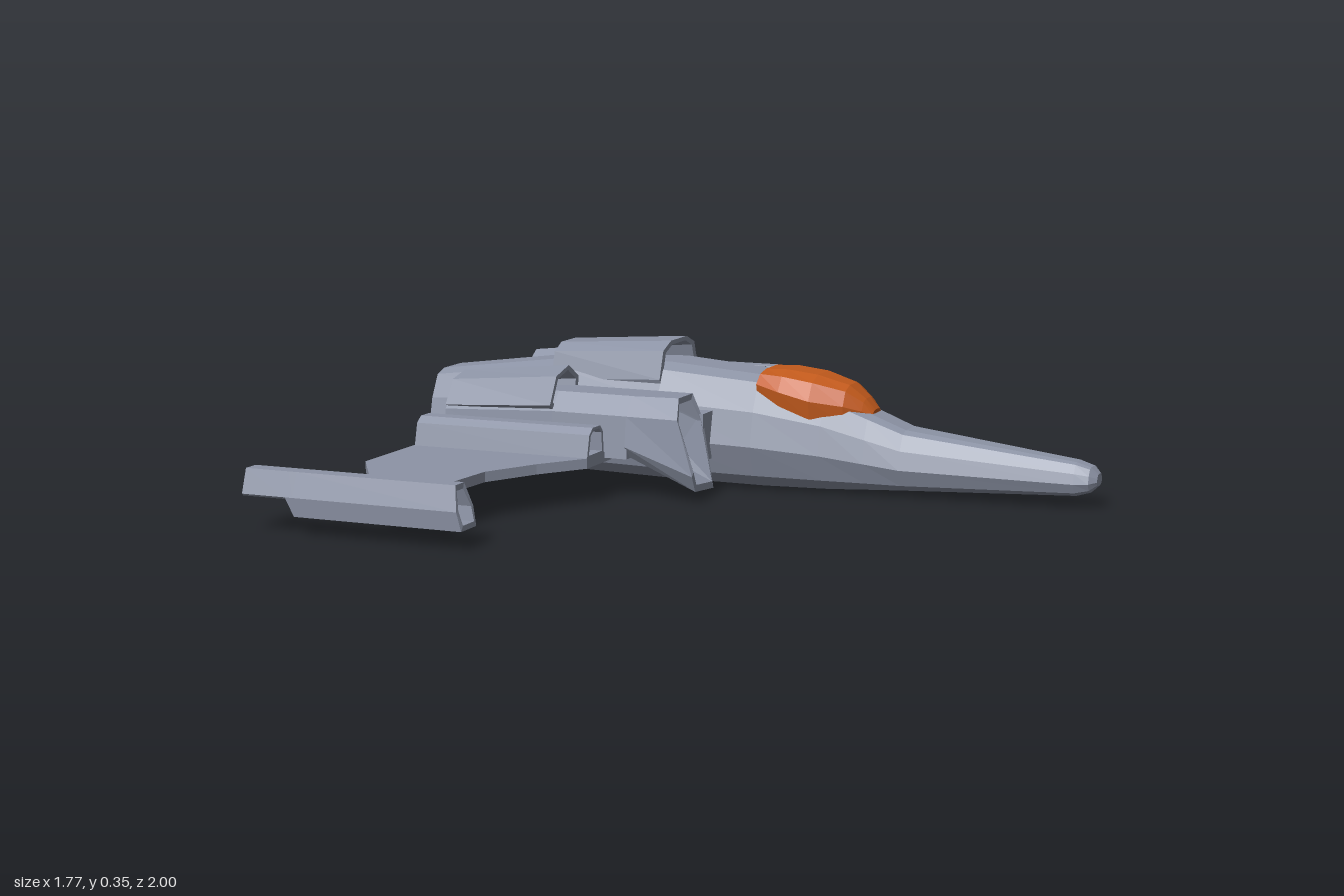
import * as THREE from 'three';

const hull = new THREE.MeshStandardMaterial({ color: 0x8d94a6, flatShading: true });
const glass = new THREE.MeshStandardMaterial({ color: 0xc25a1c, flatShading: true });

// Skin a list of rings of [x, y, z]; each ring runs top -> +z -> bottom -> -z
function loft(rings, capped = true) {
  const pos = [];
  const tri = (a, b, c) => pos.push(...a, ...b, ...c);
  for (let i = 0; i + 1 < rings.length; i++) {
    const r = rings[i], q = rings[i + 1], n = r.length;
    for (let j = 0; j < n; j++) {
      const k = (j + 1) % n;
      tri(r[j], r[k], q[k]);
      tri(r[j], q[k], q[j]);
    }
  }
  if (capped) {
    const a = rings[0], b = rings[rings.length - 1];
    for (let j = 1; j + 1 < a.length; j++) {
      tri(a[0], a[j + 1], a[j]);
      tri(b[0], b[j], b[j + 1]);
    }
  }
  const g = new THREE.BufferGeometry();
  g.setAttribute('position', new THREE.Float32BufferAttribute(pos, 3));
  g.computeVertexNormals();
  return g;
}

// Ring at constant x from [z, y] pairs
const ring = (x, pts) => pts.map(([z, y]) => [x, y, z]);

// Shrink a ring about its middle
function shrink(r, k) {
  const mid = [0, 1, 2].map(i => r.reduce((s, p) => s + p[i], 0) / r.length);
  return r.map(p => [p[0], mid[1] + (p[1] - mid[1]) * k, mid[2] + (p[2] - mid[2]) * k]);
}

// Open-ended tube with wall thickness
function shell(rings, k) {
  const inner = rings.map(r => shrink(r, k)).reverse();
  return loft([...rings, ...inner, rings[0]], false);
}

const mirror = (rings, s) => s > 0 ? rings : rings.map(r => r.map(([x, y, z]) => [x, y, -z]).reverse());

// Symmetric fuselage section
function section(x, bottom, top, w) {
  const h = top - bottom;
  const half = [[0.35, 1], [0.62, 0.95], [0.86, 0.7], [1, 0.4], [0.82, 0.13], [0.35, 0]]
    .map(([a, b]) => [a * w, bottom + b * h]);
  return ring(x, [...half, ...half.map(([z, y]) => [-z, y]).reverse()]);
}

export function createModel() {
  const model = new THREE.Group();
  const add = (name, geo, mat = hull, parent = model) => {
    const m = new THREE.Mesh(geo, mat);
    m.name = name;
    parent.add(m);
    return m;
  };

  // Fuselage; the first rings fold inwards to form the exhaust
  const tail = section(-0.885, 0.015, 0.25, 0.13);
  const inside = shrink(tail, 0.83);
  add('fuselage', loft([
    inside.map(([, y, z]) => [-0.55, y, z]), inside, tail,
    section(-0.54, 0.01, 0.295, 0.148),
    section(-0.225, 0.004, 0.305, 0.162),
    section(0.03, 0.002, 0.285, 0.147),
    section(0.2, 0.004, 0.245, 0.12),
    section(0.31, 0.009, 0.2, 0.103),
    section(0.4, 0.013, 0.165, 0.093),
    section(0.83, 0.03, 0.113, 0.052),
    section(0.865, 0.04, 0.102, 0.045),
    section(0.882, 0.056, 0.085, 0.025),
  ]));

  // Canopy
  const dome = (x, base, top, w) => ring(x, [
    [0.35 * w, top], [0.75 * w, top - (top - base) * 0.18], [w, base + (top - base) * 0.3], [0.95 * w, base - 0.02],
    [-0.95 * w, base - 0.02], [-w, base + (top - base) * 0.3], [-0.75 * w, top - (top - base) * 0.18], [-0.35 * w, top],
  ]);
  add('canopy', loft([
    dome(0.03, 0.255, 0.298, 0.103),
    dome(0.09, 0.232, 0.3, 0.11),
    dome(0.17, 0.208, 0.291, 0.108),
    dome(0.25, 0.2, 0.268, 0.078),
    dome(0.29, 0.195, 0.235, 0.05),
    dome(0.313, 0.19, 0.208, 0.032),
  ]), glass);

  // Dorsal scoop
  const scoop = (x, top, w) => ring(x, [
    [0.4 * w, top], [0.8 * w, top - 0.02], [w, top - 0.09], [0.8 * w, top - 0.15],
    [-0.8 * w, top - 0.15], [-w, top - 0.09], [-0.8 * w, top - 0.02], [-0.4 * w, top],
  ]);
  add('dorsalScoop', shell([scoop(-0.54, 0.337, 0.1), scoop(-0.225, 0.357, 0.122)], 0.84));

  for (const s of [1, -1]) {
    const side = new THREE.Group();
    side.name = s > 0 ? 'leftSide' : 'rightSide';
    model.add(side);
    const tube = (name, rings, k) => add(name, shell(mirror(rings, s), k), hull, side);

    // Wing slab
    const outline = [[-0.76, 0.1], [-0.76, 0.66], [-0.58, 0.93], [-0.45, 0.93],
      [-0.43, 0.67], [-0.36, 0.54], [-0.28, 0.43], [-0.28, 0.1]];
    const wing = new THREE.ExtrudeGeometry(
      new THREE.Shape(outline.map(([x, z]) => new THREE.Vector2(x, z * s))),
      { depth: 0.025, bevelEnabled: false });
    wing.rotateX(Math.PI / 2).translate(0, 0.115, 0);
    add('wing', wing, hull, side);

    // Wingtip pod, shallower at the rear
    const pod = (x, low, lean) => [[0.98, 0.147], [1, 0.09], [0.995, low], [0.925, low], [0.92, 0.09], [0.94, 0.147]]
      .map(([z, y]) => [x - lean * (y - 0.09), y, z]);
    tube('wingtipPod', [pod(-0.885, 0.085, 0), pod(-0.77, 0.085, 0), pod(-0.75, 0.045, 0), pod(-0.325, 0.045, 0.2)], 0.74);

    // Small duct on the wing
    const duct = [[0.395, 0.185], [0.415, 0.17], [0.43, 0.11], [0.335, 0.11], [0.34, 0.17], [0.355, 0.185]];
    tube('wingDuct', [ring(-0.757, duct), ring(-0.28, duct)], 0.78);

    // Engine nacelle
    const body = (x, top, zi, zo) => ring(x, [
      [zo - 0.05, top], [zo - 0.01, top - 0.045], [zo, 0.1], [zi + 0.01, 0.1], [zi, top - 0.06], [zi + 0.015, top],
    ]);
    tube('nacelle', [body(-0.737, 0.235, 0.155, 0.315), body(-0.43, 0.25, 0.165, 0.328), body(-0.22, 0.25, 0.17, 0.333)], 0.86);

    // Raised rear cowl
    tube('nacelleCowl', [
      ring(-0.737, [[0.2, 0.275], [0.265, 0.26], [0.305, 0.2], [0.28, 0.19], [0.17, 0.19], [0.155, 0.245]]),
      ring(-0.43, [[0.22, 0.307], [0.29, 0.288], [0.328, 0.22], [0.3, 0.2], [0.18, 0.2], [0.165, 0.272]]),
    ], 0.8);

    // Raked intake, deeper towards its lip
    tube('intake', [
      [[-0.225, 0.25, 0.285], [-0.225, 0.205, 0.324], [-0.225, 0.13, 0.333], [-0.225, 0.105, 0.315],
        [-0.225, 0.1, 0.19], [-0.225, 0.19, 0.17], [-0.225, 0.25, 0.185]],
      [[-0.1, 0.252, 0.285], [-0.085, 0.205, 0.33], [-0.042, 0.07, 0.34], [-0.042, 0.03, 0.32],
        [-0.045, 0.018, 0.2], [-0.08, 0.19, 0.185], [-0.1, 0.252, 0.2]],
    ], 0.86);

    // Strut between intake and fuselage
    add('intakeStrut', new THREE.BoxGeometry(0.11, 0.12, 0.06).translate(-0.13, 0.14, 0.165 * s), hull, side);
  }
  return model;
}
